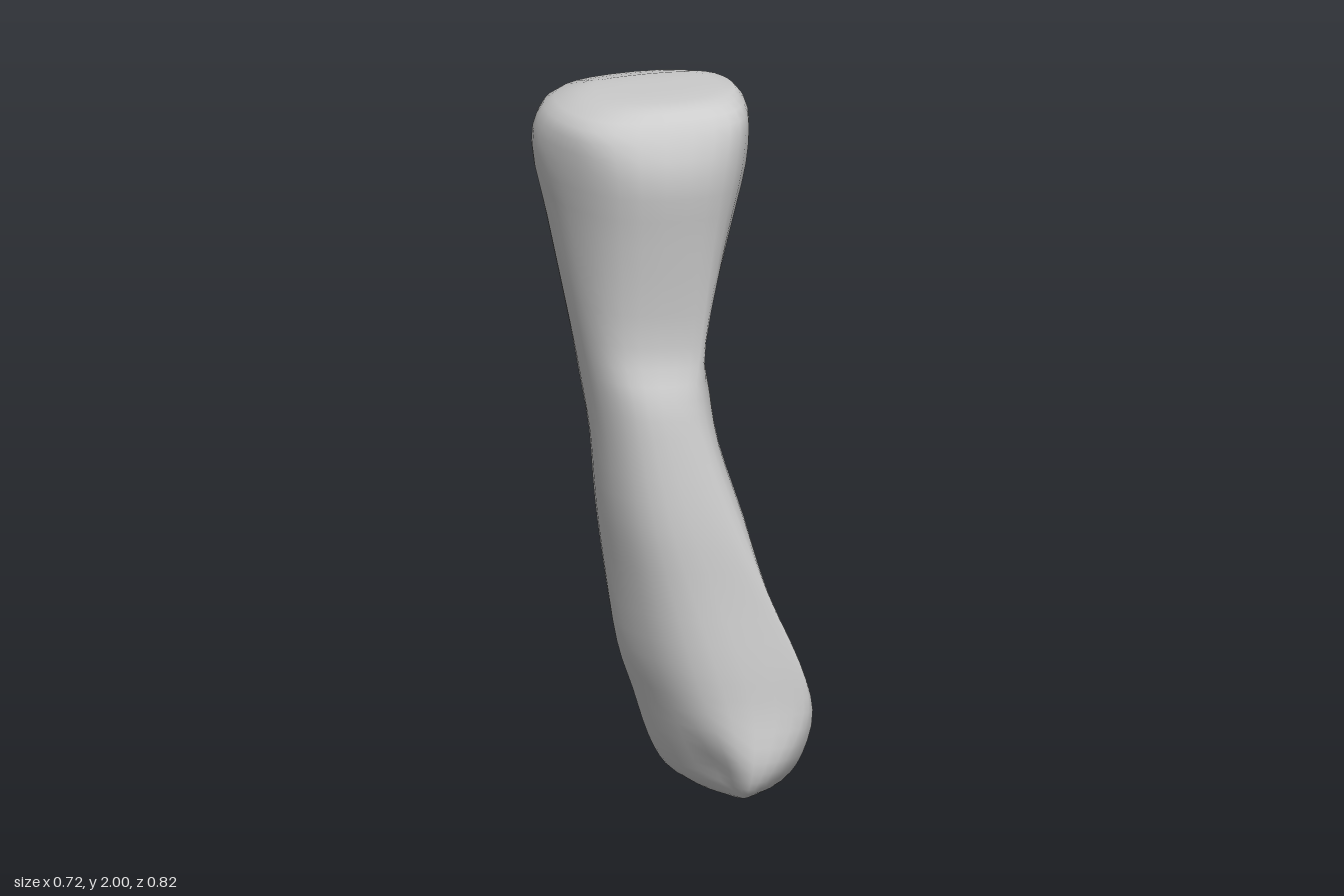
import * as THREE from 'three';

// Directions in which each section is measured, turning from +x towards +z
const ANGLES = [0, 45, 90, 150, 180, 225, 270, 330].map(THREE.MathUtils.degToRad);

// Cross-sections from top to bottom: height, then the reach in each direction
const SECTIONS = [
  [1.98, 0.19, 0.19, 0.18, 0.21, 0.24, 0.25, 0.17, 0.19],
  [1.93, 0.22, 0.26, 0.24, 0.30, 0.33, 0.37, 0.33, 0.245],
  [1.80, 0.215, 0.27, 0.285, 0.31, 0.36, 0.41, 0.41, 0.25],
  [1.60, 0.16, 0.24, 0.26, 0.285, 0.32, 0.38, 0.37, 0.175],
  [1.30, 0.085, 0.205, 0.23, 0.265, 0.265, 0.29, 0.275, 0.13],
  [1.15, 0.10, 0.215, 0.28, 0.265, 0.24, 0.26, 0.24, 0.11],
  [1.00, 0.12, 0.255, 0.305, 0.26, 0.22, 0.21, 0.21, 0.10],
  [0.80, 0.18, 0.325, 0.33, 0.25, 0.205, 0.19, 0.165, 0.10],
  [0.60, 0.235, 0.40, 0.345, 0.22, 0.18, 0.155, 0.125, 0.12],
  [0.40, 0.32, 0.48, 0.37, 0.19, 0.15, 0.11, 0.105, 0.155],
  [0.26, 0.355, 0.50, 0.385, 0.155, 0.105, 0.09, 0.105, 0.14],
  [0.13, 0.33, 0.47, 0.41, 0.12, 0.065, 0.03, 0.075, 0.13],
  [0.05, 0.28, 0.42, 0.395, 0.085, 0.02, -0.03, 0.02, 0.10],
  [0.015, 0.22, 0.37, 0.36, 0.055, -0.04, -0.10, -0.05, 0.07],
];
const ROW_STEPS = 3, ARC_STEPS = 4;

// Smooth blend between neighbouring sections
function sectionAt(i, t) {
  const at = (k) => SECTIONS[THREE.MathUtils.clamp(k, 0, SECTIONS.length - 1)];
  const [a, b, c, d] = [at(i - 1), at(i), at(i + 1), at(i + 2)];
  return b.map((v, k) => {
    const m0 = (c[k] - a[k]) / 2, m1 = (d[k] - v) / 2;
    return v + t * (m0 + t * (3 * (c[k] - v) - 2 * m0 - m1 + t * (2 * (v - c[k]) + m0 + m1)));
  });
}

// Rounded closed outline touching the eight reach lines
function ring([y, ...reach]) {
  const corners = reach.map((h, k) => {
    const a = ANGLES[k], turn = ANGLES[(k + 1) % 8] - a;
    const side = (reach[(k + 1) % 8] - h * Math.cos(turn)) / Math.sin(turn);
    return new THREE.Vector2(
      h * Math.cos(a) - side * Math.sin(a), h * Math.sin(a) + side * Math.cos(a));
  });
  const points = [];
  corners.forEach((corner, k) => {
    const start = corners[(k + 7) % 8].clone().lerp(corner, 0.5);
    const end = corners[(k + 1) % 8].clone().lerp(corner, 0.5);
    const arc = new THREE.QuadraticBezierCurve(start, corner, end);
    for (let s = 0; s < ARC_STEPS; s++) {
      const p = arc.getPoint(s / ARC_STEPS);
      points.push(new THREE.Vector3(p.x, y, p.y));
    }
  });
  return points;
}

// Rings shrinking to the middle of an end, ordered outwards
function cap(rim, steps) {
  const centre = rim.reduce((sum, p) => sum.add(p), new THREE.Vector3()).divideScalar(rim.length);
  return steps.map(([scale, y]) => rim.map((p) => {
    const q = centre.clone().lerp(p, scale);
    q.y = y;
    return q;
  }));
}

// Hollow between the two knuckles of the lower end, and the tilt of the top
function sculpt(p) {
  const d2 = ((p.x - 0.07) / 0.07) ** 2 + ((p.y - 0.08) / 0.1) ** 2 + ((p.z - 0.34) / 0.08) ** 2;
  const dent = 0.035 * Math.exp(-d2);
  p.x += dent * 0.5;
  p.z -= dent * 0.87;
  p.y += 0.05 * p.x * THREE.MathUtils.smoothstep(p.y, 1.8, 1.98);
  return p;
}

function boneGeometry() {
  const body = [];
  for (let i = 0; i < SECTIONS.length - 1; i++)
    for (let s = 0; s < ROW_STEPS; s++) body.push(ring(sectionAt(i, s / ROW_STEPS)));
  body.push(ring(SECTIONS[SECTIONS.length - 1]));

  const rings = [
    ...cap(body[0], [[0, 1.99], [0.4, 1.99], [0.8, 1.988]]),
    ...body,
    ...cap(body[body.length - 1], [[0, 0], [0.4, 0.001], [0.75, 0.005]]).reverse(),
  ];
  const n = rings[0].length, index = [];
  for (let i = 0; i < rings.length - 1; i++)
    for (let j = 0; j < n; j++) {
      const k = (j + 1) % n, a = i * n + j, b = i * n + k;
      index.push(a, b, a + n, b, b + n, a + n);
    }
  const geometry = new THREE.BufferGeometry().setFromPoints(rings.flat().map(sculpt));
  geometry.setIndex(index);
  geometry.computeVertexNormals();
  return geometry;
}

export function createModel() {
  const model = new THREE.Group();
  model.name = 'footBone';
  const bone = new THREE.Mesh(boneGeometry(), new THREE.MeshStandardMaterial({ color: 0xcccccc }));
  bone.name = 'bone';
  model.add(bone);
  return model;
}
